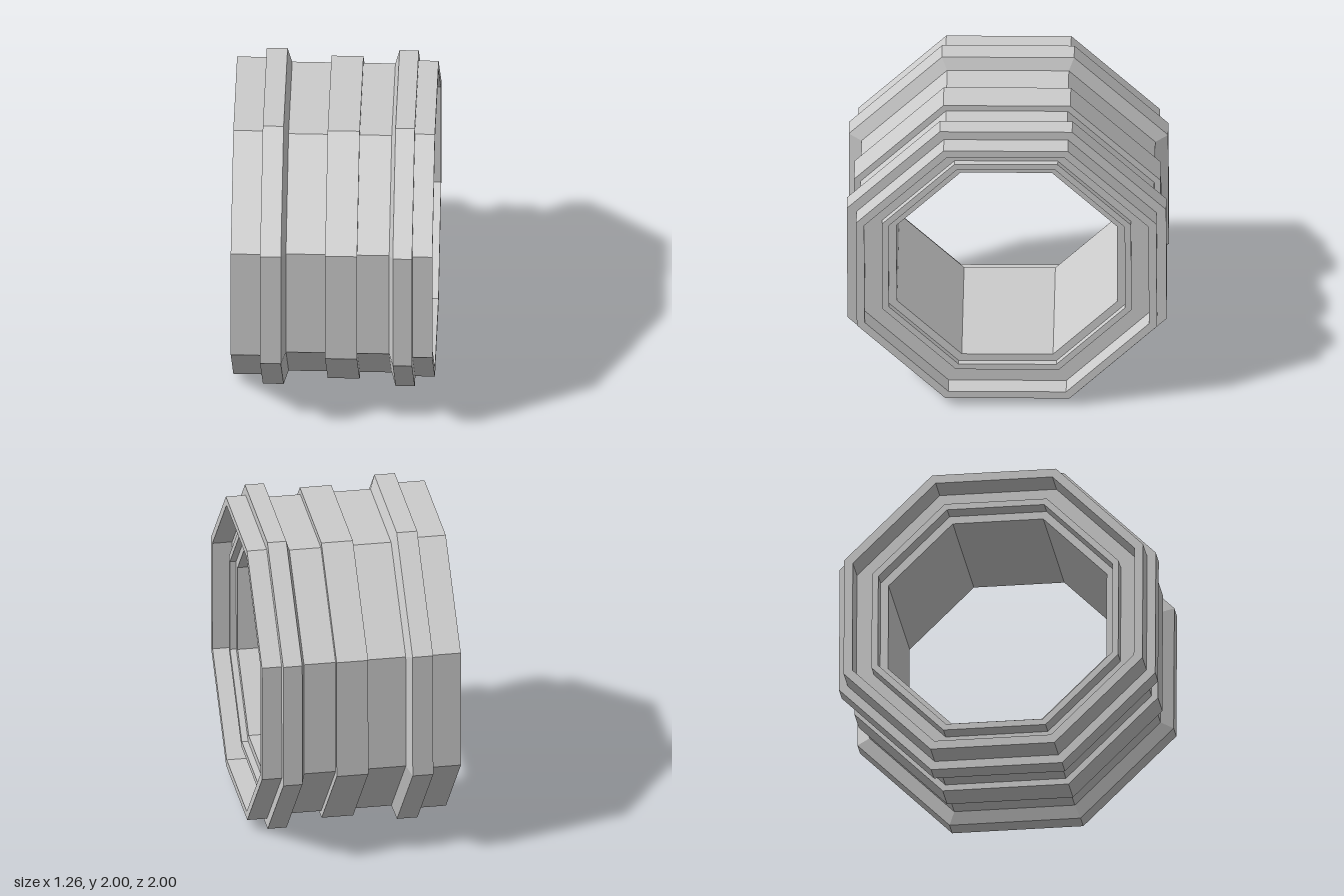
import * as THREE from 'three';

const SIDES = 8;
const TURN = THREE.MathUtils.degToRad(22.2); // corner angle of the octagon

export function createModel() {
  const model = new THREE.Group();
  model.name = 'octagonalCoupling';
  const material = new THREE.MeshStandardMaterial({ color: 0xcccccc, flatShading: true });

  // Spin a profile of [x, half-height] pairs around the x axis.
  // Outer walls run towards +x, inner walls back towards -x.
  function ring(name, profile) {
    const points = profile.map(([x, r]) => new THREE.Vector2(r / Math.cos(TURN), x));
    const geometry = new THREE.LatheGeometry(points, SIDES, -TURN);
    geometry.rotateZ(-Math.PI / 2);
    geometry.translate(0, 1, 0);
    const mesh = new THREE.Mesh(geometry, material);
    mesh.name = name;
    model.add(mesh);
  }

  // Outside, from the -x end to the +x end
  ring('rightSleeve', [[-0.63, 0.89], [-0.63, 0.945], [-0.445, 0.945]]);
  ring('rightFlange', [[-0.445, 0.945], [-0.445, 1], [-0.315, 1], [-0.285, 0.92]]);
  ring('body', [[-0.285, 0.92], [-0.04, 0.92]]);
  ring('middleBand', [[-0.04, 0.92], [-0.04, 0.96], [0.16, 0.96], [0.16, 0.92]]);
  ring('bodyLeft', [[0.16, 0.92], [0.36, 0.92]]);
  ring('leftFlange', [[0.36, 0.92], [0.385, 1], [0.505, 1], [0.505, 0.94]]);
  ring('leftSleeve', [[0.505, 0.94], [0.63, 0.94], [0.63, 0.89]]);

  // Recess in each end, with a thin collar standing proud of its floor
  ring('leftRecess', [[0.63, 0.89], [0.505, 0.89], [0.505, 0.78]]);
  ring('leftCollar', [[0.505, 0.78], [0.545, 0.78], [0.545, 0.74], [0.505, 0.74], [0.505, 0.69]]);
  ring('bore', [[0.505, 0.69], [-0.445, 0.69]]);
  ring('rightCollar', [[-0.445, 0.69], [-0.445, 0.74], [-0.55, 0.74], [-0.55, 0.78], [-0.445, 0.78]]);
  ring('rightRecess', [[-0.445, 0.78], [-0.445, 0.89], [-0.63, 0.89]]);

  return model;
}
